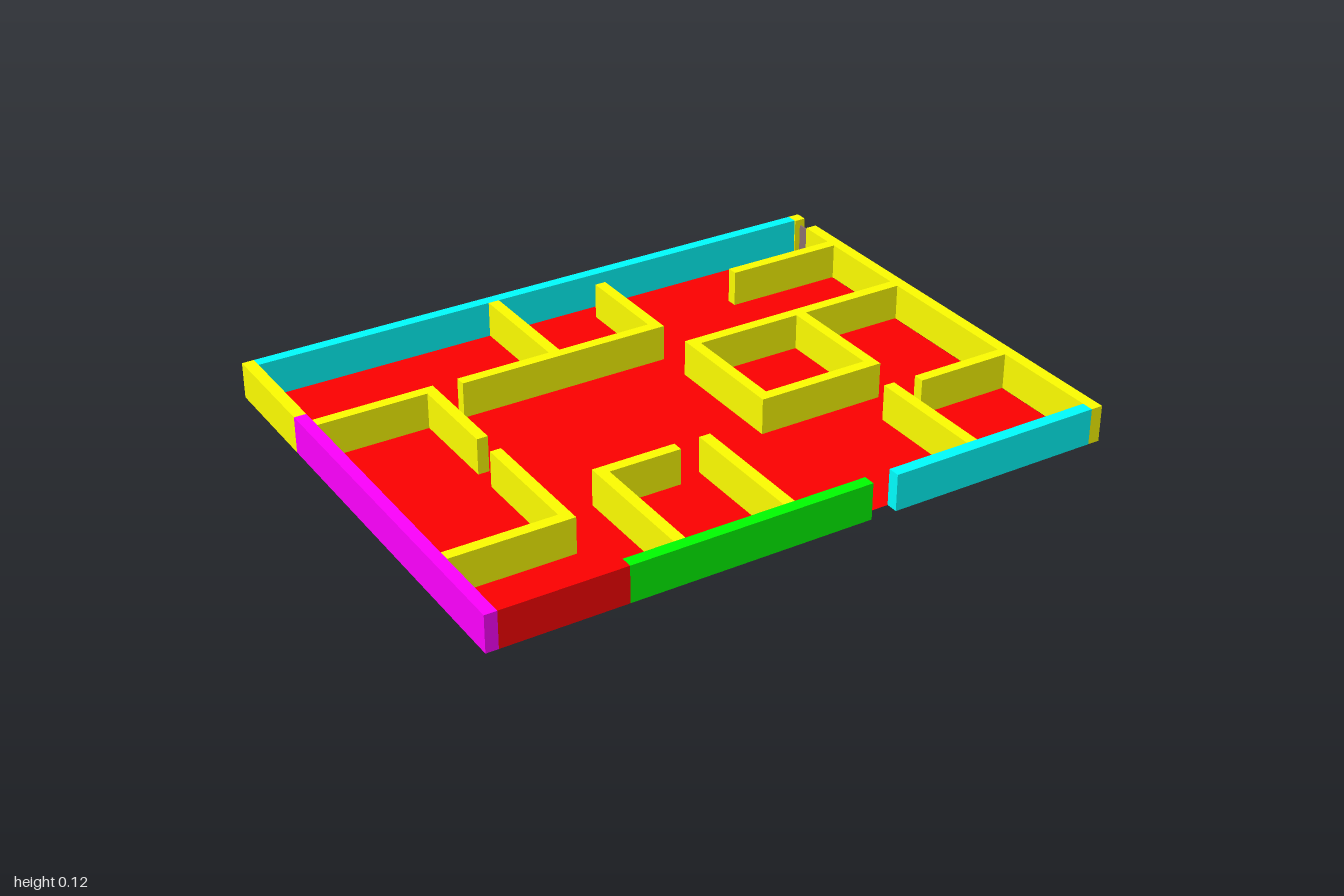
import * as THREE from 'three';

const HEIGHT = 0.116;
const material = (color) => new THREE.MeshStandardMaterial({ color });
const yellow = material(0xffff00);
const red = material(0xff0000);
const cyan = material(0x00ffff);
const green = material(0x00ff00);
const magenta = material(0xff00ff);
const doorGrey = material(0x8c7070);

// Box standing between two plan corners
function block(name, mat, [x0, x1, z0, z1], height = HEIGHT, y0 = 0) {
  const mesh = new THREE.Mesh(new THREE.BoxGeometry(x1 - x0, height, z1 - z0), mat);
  mesh.position.set((x0 + x1) / 2, y0 + height / 2, (z0 + z1) / 2);
  mesh.name = name;
  return mesh;
}

export function createModel() {
  const model = new THREE.Group();
  model.name = 'floorPlan';

  // Paper-thin floor, just above the wall undersides
  const floorMaterial = material(0xff0000);
  floorMaterial.side = THREE.DoubleSide;
  const floor = new THREE.Mesh(new THREE.PlaneGeometry(1.92, 1.464), floorMaterial);
  floor.rotation.x = -Math.PI / 2;
  floor.position.y = 0.001;
  floor.name = 'floor';
  model.add(floor);

  // Outer walls: [name, material, x0, x1, z0, z1]
  const outer = [
    ['backWall', cyan, -0.962, 0.962, -0.768, -0.732],
    ['backCorner', yellow, 0.962, 1, -0.768, -0.728],
    ['leftWallBack', yellow, -1, -0.962, -0.768, -0.388],
    ['leftWallFront', magenta, -1, -0.962, -0.388, 0.768],
    ['rightWall', yellow, 0.962, 1, -0.664, 0.768],
    ['frontWallLeftEnd', red, -0.962, -0.578, 0.73, 0.768],
    ['frontWallMiddle', green, -0.578, 0.19, 0.73, 0.768],
    ['frontWallRightEnd', cyan, 0.272, 0.962, 0.73, 0.768],
  ];
  for (const [name, mat, ...rect] of outer) model.add(block(name, mat, rect));

  // Room partitions: [x0, x1, z0, z1]
  const partitions = new THREE.Group();
  partitions.name = 'partitions';
  const inner = [
    // back left room
    [-0.962, -0.58, -0.348, -0.313], [-0.615, -0.58, -0.313, -0.005],
    // back rooms
    [-0.5, 0.19, -0.348, -0.313], [-0.193, -0.157, -0.732, -0.348], [0.154, 0.19, -0.668, -0.348],
    // back right stub
    [0.576, 0.962, -0.541, -0.506],
    // closed room on the right
    [0.192, 0.962, -0.196, -0.16], [0.192, 0.227, -0.16, 0.191],
    [0.576, 0.611, -0.16, 0.191], [0.192, 0.611, 0.191, 0.227],
    // front right room
    [0.652, 0.962, 0.342, 0.377], [0.54, 0.576, 0.342, 0.73],
    // front middle room
    [-0.423, -0.157, 0.305, 0.34], [-0.423, -0.387, 0.34, 0.73], [-0.078, -0.042, 0.31, 0.73],
    // front left room
    [-0.615, -0.58, 0.073, 0.458], [-0.962, -0.58, 0.458, 0.494],
  ];
  for (const rect of inner) partitions.add(block('partition', yellow, rect));
  model.add(partitions);

  // Thin door in the right wall, with a knob on each face
  const door = new THREE.Group();
  door.name = 'door';
  door.add(block('doorPanel', doorGrey, [0.978, 0.984, -0.724, -0.667], 0.097));
  for (const side of [-1, 1]) {
    const knob = new THREE.Mesh(new THREE.SphereGeometry(0.003, 10, 8), doorGrey);
    knob.position.set(0.981 + side * 0.005, 0.046, -0.673);
    knob.name = 'doorKnob';
    door.add(knob);
  }
  model.add(door);

  return model;
}
